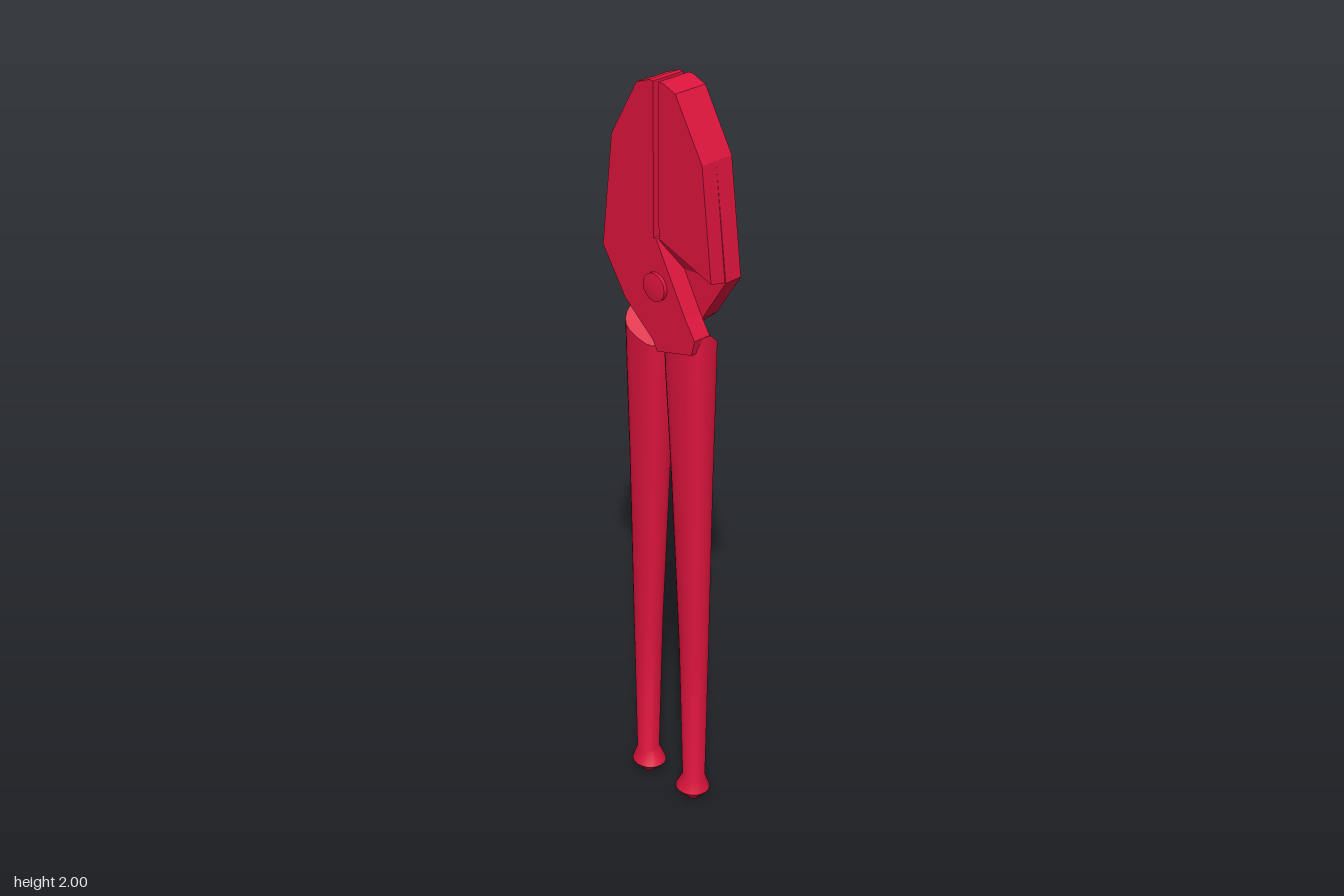
import * as THREE from 'three';
import { toCreasedNormals } from 'three/addons/utils/BufferGeometryUtils.js';

const red = new THREE.MeshStandardMaterial({ color: 0xdc143c });

function part(name, geometry) {
  const mesh = new THREE.Mesh(geometry, red);
  mesh.name = name;
  return mesh;
}

// Flat plate with the given outline, filling z0..z1
function plate(points, z0, z1) {
  const shape = new THREE.Shape(points.map(([x, y]) => new THREE.Vector2(x, y)));
  return new THREE.ExtrudeGeometry(shape, { depth: z1 - z0, bevelEnabled: false }).translate(0, 0, z0);
}

// Rounded-box cross-sections, bottom to top: [y, centre x, half width, half depth, squareness]
function loft(sections, sides, topRule) {
  const pos = [], index = [];
  const last = sections.length - 1;
  sections.forEach(([y, cx, rx, rz, n], i) => {
    for (let k = 0; k < sides; k++) {
      const a = (k / sides) * Math.PI * 2;
      const round = (v) => Math.abs(v) < 1e-6 ? 0 : Math.sign(v) * Math.abs(v) ** (2 / n);
      const x = cx + rx * round(Math.cos(a)), z = rz * round(Math.sin(a));
      pos.push(x, i === last ? topRule(x, z) : y, z);
    }
  });
  for (let i = 0; i < last; i++) {
    for (let k = 0; k < sides; k++) {
      const a = i * sides + k, b = i * sides + (k + 1) % sides;
      index.push(a, a + sides, b, b, a + sides, b + sides);
    }
  }
  // End caps
  const bottom = pos.length / 3, top = bottom + 1;
  pos.push(sections[0][1], sections[0][0] - 0.004, 0);
  pos.push(sections[last][1], topRule(sections[last][1], 0), 0);
  for (let k = 0; k < sides; k++) {
    const next = (k + 1) % sides;
    index.push(bottom, k, next, top, last * sides + next, last * sides + k);
  }
  const geometry = new THREE.BufferGeometry();
  geometry.setAttribute('position', new THREE.Float32BufferAttribute(pos, 3));
  geometry.setIndex(index);
  return toCreasedNormals(geometry, 0.55);
}

// One lever: jaw on -x, front plate crossing the pivot, handle on +x
function createLever(name) {
  const lever = new THREE.Group();
  lever.name = name;

  const jawEdge = [[-0.006, 2.0], [-0.02, 2.0], [-0.06, 1.985], [-0.145, 1.84]];

  // Front half of the jaw, continuing across to the handle
  lever.add(part('crossingPlate', plate([
    ...jawEdge, [-0.18, 1.55], [-0.105, 1.435], [-0.01, 1.355], [0.004, 1.33],
    [0.12, 1.36], [0.13, 1.4], [0.1, 1.445], [0.002, 1.62], [-0.006, 1.62],
  ], 0, 0.05)));

  // Rear half of the jaw, ending in a sloping step
  const rear = plate([...jawEdge, [-0.177, 1.56], [-0.006, 1.62]], -0.045, 0);
  const p = rear.attributes.position;
  for (let i = 0; i < p.count; i++) {
    if (p.getZ(i) > -0.01 && p.getY(i) < 1.7) {
      p.setY(i, p.getX(i) < -0.1 ? 1.55 : 1.54);
    }
  }
  rear.computeVertexNormals();
  lever.add(part('jawRear', rear));

  // Tapered handle with a knob and a slanted shoulder
  lever.add(part('handle', loft([
    [0.008, 0.085, 0.012, 0.012, 2],
    [0.045, 0.083, 0.047, 0.044, 2],
    [0.085, 0.087, 0.03, 0.03, 2],
    [0.5, 0.084, 0.04, 0.034, 2.2],
    [1.0, 0.074, 0.054, 0.041, 2.6],
    [1.28, 0.068, 0.063, 0.046, 3],
    [1.38, 0.067, 0.065, 0.047, 3],
  ], 20, (x, z) => 1.38 + 0.3 * (x - 0.067) + 0.85 * Math.min(z, 0))));
  return lever;
}

export function createModel() {
  const model = new THREE.Group();
  model.name = 'pliers';

  // The second lever is the first turned half way round
  const front = createLever('frontLever');
  const back = createLever('backLever');
  back.rotation.y = Math.PI;
  model.add(front, back);

  // Pivot rivet with slightly domed heads
  const profile = [[0, -0.067], [0.035, -0.06], [0.036, 0.06], [0, 0.066]]
    .map(([r, y]) => new THREE.Vector2(r, y));
  const rivet = toCreasedNormals(new THREE.LatheGeometry(profile, 16), 0.6);
  rivet.rotateX(Math.PI / 2).translate(0.003, 1.5, 0);
  model.add(part('pivotRivet', rivet));
  return model;
}
